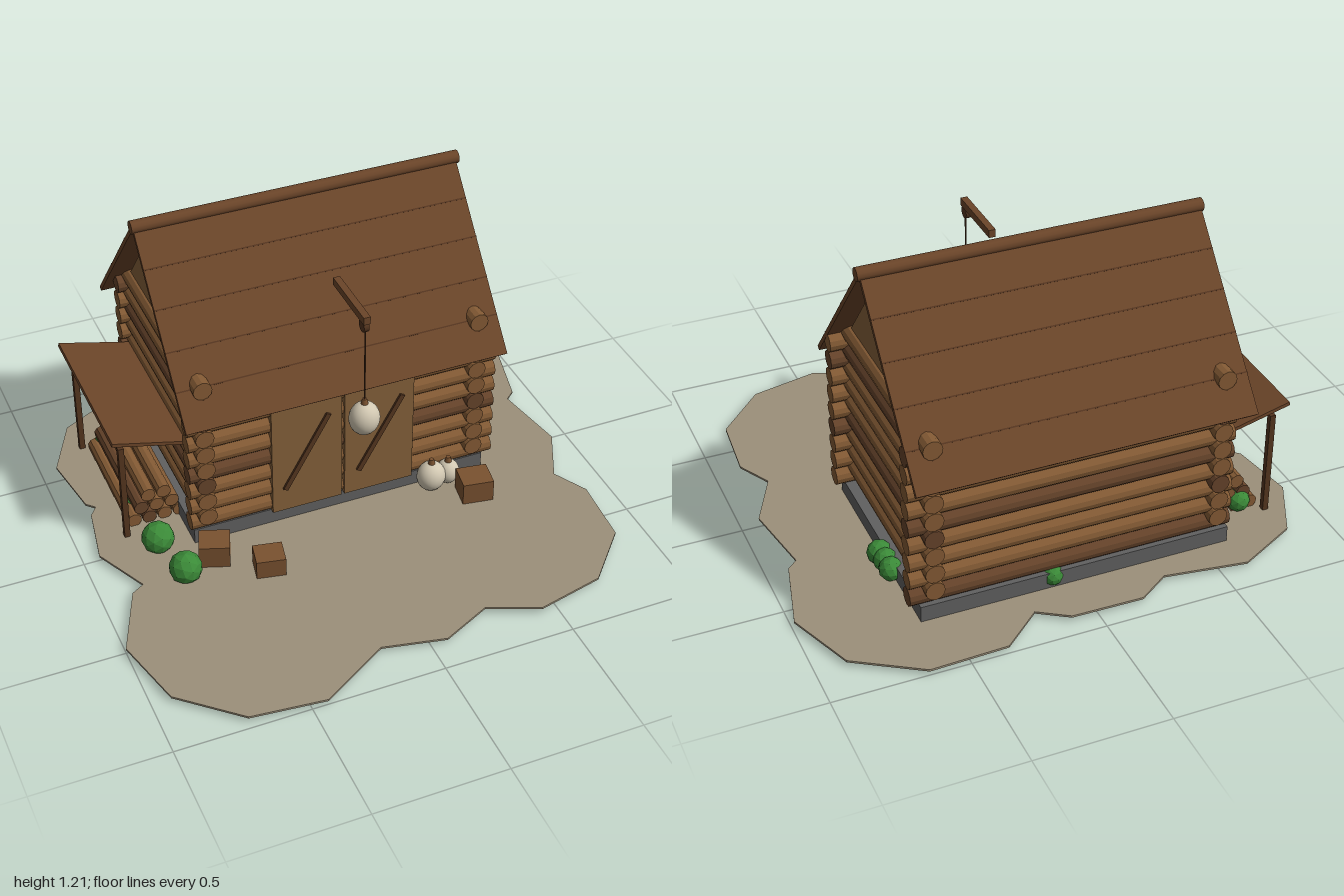
import * as THREE from 'three';

const mat = (name, color) => {
  const m = new THREE.MeshStandardMaterial({ color });
  m.name = name;
  return m;
};

export function createModel() {
  const root = new THREE.Group();
  root.name = 'logStorehouse';
  const M = {
    ground: mat('packedEarth', 0x9c907a),
    stone: mat('foundationStone', 0x606060),
    log: mat('lightLog', 0x835a34),
    darkLog: mat('darkLog', 0x65432a),
    plank: mat('paleBoard', 0x84603a),
    roof: mat('roofBoard', 0x6b4529),
    trim: mat('darkTimber', 0x54351f),
    crate: mat('crateWood', 0x7a5230),
    sack: mat('sackCloth', 0xd2c8b2),
    leaf: mat('leaf', 0x3b8a38),
  };
  for (const m of [M.leaf, M.log, M.darkLog]) m.flatShading = true;

  const add = (name, geo, material, x = 0, y = 0, z = 0, parent = root) => {
    const mesh = new THREE.Mesh(geo, material);
    mesh.name = name;
    mesh.position.set(x, y, z);
    parent.add(mesh);
    return mesh;
  };
  const box = (name, w, h, d, material, x, y, z, parent) =>
    add(name, new THREE.BoxGeometry(w, h, d), material, x, y, z, parent);
  const group = (name) => {
    const g = new THREE.Group();
    g.name = name;
    root.add(g);
    return g;
  };
  const MID = -0.34; // depth of the ridge line

  // Irregular yard
  const outline = [
    [-0.83, -0.78], [-0.6, -0.9], [-0.29, -0.855], [-0.17, -0.935], [0.1, -0.93], [0.21, -0.86],
    [0.36, -0.99], [0.65, -1], [0.89, -0.85], [0.99, -0.59], [0.92, -0.305], [0.88, -0.27],
    [0.93, 0.02], [0.83, 0.23], [0.9, 0.36], [0.88, 0.625], [0.7, 0.82], [0.44, 0.88], [0.25, 0.8],
    [0.06, 0.89], [-0.175, 0.84], [-0.44, 1], [-0.72, 0.97], [-0.93, 0.78], [-1, 0.5], [-0.89, 0.24],
    [-0.84, 0.21], [-0.94, 0], [-0.9, -0.23], [-0.87, -0.27], [-0.9, -0.3], [-0.94, -0.555],
  ];
  const yard = new THREE.Shape(outline.map(([x, z]) => new THREE.Vector2(x, -z)));
  const yardGeo = new THREE.ExtrudeGeometry(yard, { depth: 0.008, bevelEnabled: false });
  yardGeo.rotateX(-Math.PI / 2);
  add('yard', yardGeo, M.ground, 0, 0.03, 0);

  box('foundation', 1.18, 0.072, 0.83, M.stone, 0, 0.064, -0.345);

  // Log walls, the two directions interlocked by half a course
  const walls = group('logWalls');
  const xLog = new THREE.CylinderGeometry(0.036, 0.036, 1.225, 12).rotateZ(Math.PI / 2);
  const zLog = new THREE.CylinderGeometry(0.036, 0.036, 0.87, 12).rotateX(Math.PI / 2);
  for (let i = 0; i < 9; i++) {
    const y = 0.13 + i * 0.0725;
    [0.045, -0.72].forEach((z, s) =>
      add('longLog', xLog, (i * 3 + s) % 4 === 1 ? M.darkLog : M.log, 0.013, y, z, walls));
    [-0.54, 0.54].forEach((x, s) =>
      add('crossLog', zLog, (i * 3 + s) % 4 === 2 ? M.darkLog : M.log, x, y + 0.036, MID, walls));
  }

  // Gables
  const gable = new THREE.Shape([[-0.345, 0.77], [0.345, 0.77], [0, 1.175]].map(p => new THREE.Vector2(...p)));
  for (const x of [-0.54, 0.54]) {
    const g = new THREE.ExtrudeGeometry(gable, { depth: 0.02, bevelEnabled: false });
    g.translate(0, 0, -0.01).rotateY(Math.PI / 2);
    add('gable', g, M.plank, x, 0, MID);
  }

  // Roof slopes with dark board seams, and a ridge pole
  const run = 0.497, drop = 0.572, len = Math.hypot(run, drop);
  for (const s of [1, -1]) {
    const slope = group(s > 0 ? 'frontRoof' : 'backRoof');
    slope.position.set(-0.002, 1.195, MID);
    slope.rotation.x = s * Math.atan2(drop, run);
    box('roofBoards', 1.256, 0.018, len, M.roof, 0, 0, s * len / 2, slope);
    for (const f of [0.21, 0.405, 0.61, 0.8])
      box('roofSeam', 1.257, 0.003, 0.005, M.trim, 0, 0.009, s * len * f, slope);
  }
  add('ridgePole', new THREE.CylinderGeometry(0.025, 0.025, 1.275, 12).rotateZ(Math.PI / 2), M.roof, 0, 1.195, MID);

  // Double door with diagonal braces
  for (const s of [-1, 1]) {
    box('door', 0.278, 0.512, 0.03, M.plank, s * 0.145, 0.354, 0.074);
    const brace = box('doorBrace', 0.02, 0.352, 0.012, M.trim, s * 0.148, 0.352, 0.092);
    brace.rotation.z = -0.52;
  }

  // Sacks: squashed ball with a tied neck
  const sack = (name, x, y, z, rx, ry, rz) => {
    const g = group(name);
    g.position.set(x, y, z);
    add('sackBody', new THREE.SphereGeometry(1, 20, 14), M.sack, 0, 0, 0, g).scale.set(rx, ry, rz);
    add('sackTie', new THREE.CylinderGeometry(0.009, 0.015, 0.025, 10), M.crate, 0, ry + 0.006, 0, g);
  };
  sack('hangingSack', 0, 0.6, 0.278, 0.058, 0.067, 0.053);
  sack('standingSack', 0.355, 0.095, 0.115, 0.057, 0.062, 0.052);
  sack('smallSack', 0.43, 0.088, 0.105, 0.045, 0.05, 0.045);

  // Hoist
  box('hoistBeam', 0.026, 0.03, 0.272, M.roof, 0, 1.03, 0.157);
  add('pulley', new THREE.CylinderGeometry(0.024, 0.024, 0.02, 14).rotateZ(Math.PI / 2), M.trim, 0, 0.997, 0.268);
  add('rope', new THREE.CylinderGeometry(0.003, 0.003, 0.32, 6), M.trim, 0, 0.835, 0.278);

  // Lean-to and its posts
  const shed = box('leanToRoof', 0.285, 0.014, 0.67, M.roof, -0.715, 0.483, -0.35);
  shed.rotation.z = -0.25;
  for (const z of [-0.64, -0.07])
    box('leanToPost', 0.022, 0.425, 0.022, M.trim, -0.81, 0.243, z);

  // Firewood stack
  const wood = group('firewood');
  const billet = new THREE.CylinderGeometry(0.028, 0.028, 0.5, 10).rotateX(Math.PI / 2);
  for (let row = 0; row < 3; row++)
    for (let i = 0; i < 4 - row; i++)
      add('billet', billet, (row + i) % 3 === 1 ? M.darkLog : M.log,
        -0.765 + row * 0.03 + i * 0.06, 0.062 + row * 0.052, -0.36, wood);

  // Crates
  for (const [x, z, w, h, turn] of [
    [-0.55, 0.175, 0.115, 0.1, -0.35], [-0.385, 0.305, 0.11, 0.085, -0.2], [0.492, 0.213, 0.12, 0.1, -0.16]])
    box('crate', w, h, w * 0.9, M.crate, x, 0.028 + h / 2, z).rotation.y = turn;

  // Bushes
  [[-0.72, 0.03, 0.063], [-0.68, 0.225, 0.063], [-0.73, -0.21, 0.045], [-0.72, -0.6, 0.045],
    [0.605, -0.385, 0.047], [0.6, -0.435, 0.045], [0.6, -0.49, 0.045], [0.09, -0.735, 0.042]]
    .forEach(([x, z, r], i) => {
      const y = i < 2 ? 0.078 : 0.075;
      add('bush', new THREE.IcosahedronGeometry(r, 1), M.leaf, x, y, z).rotation.y = i * 0.7;
    });

  root.position.y = -0.015;
  const model = new THREE.Group();
  model.name = 'model';
  model.add(root);
  root.position.y = 0;
  return model;
}
